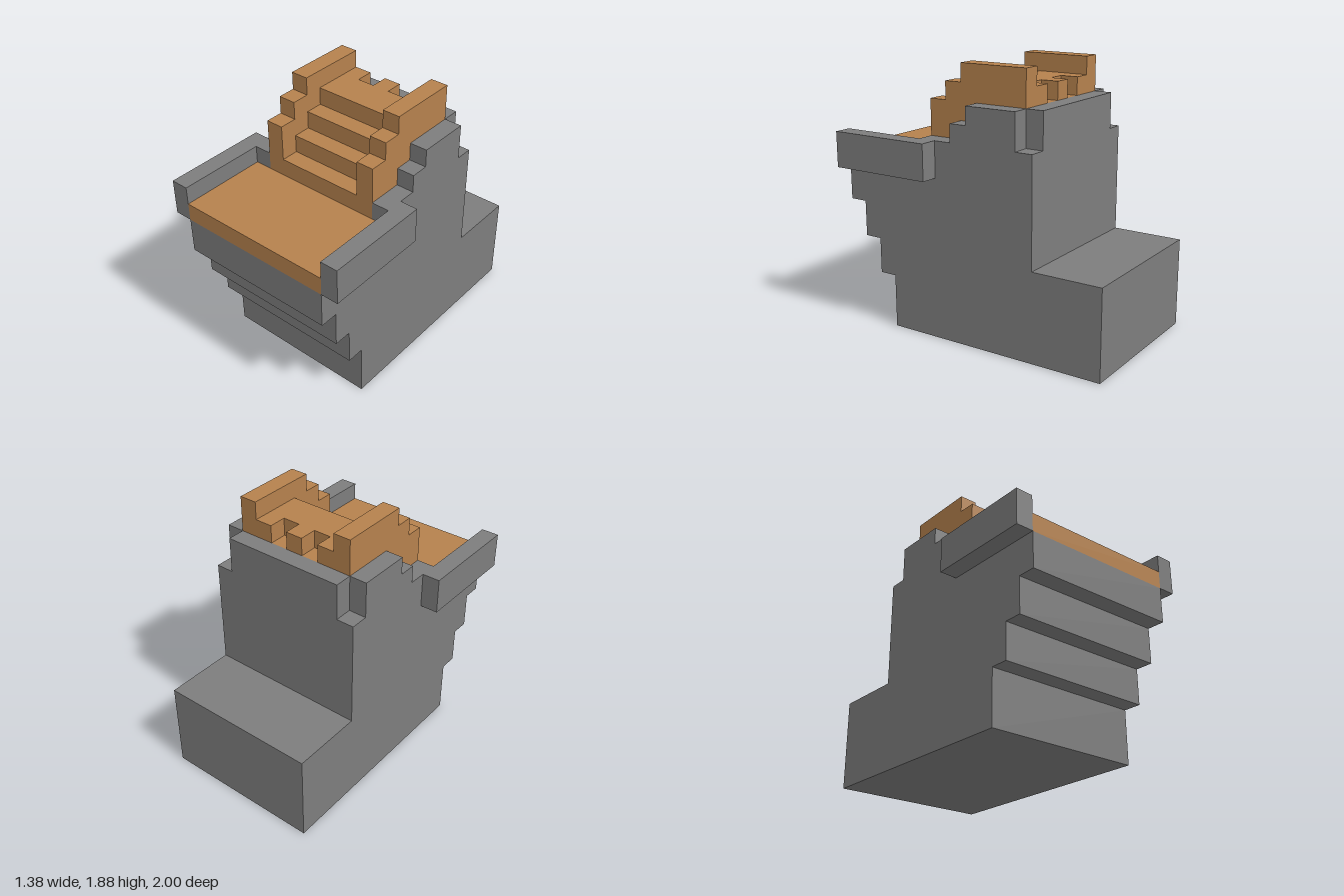
import * as THREE from 'three';

const U = 0.125; // block size; all measures below are in blocks

const stone = new THREE.MeshStandardMaterial({ color: 0x7d7d7d });
stone.name = 'stone grey';
const wood = new THREE.MeshStandardMaterial({ color: 0xb5814d });
wood.name = 'warm brown';

const toShape = (points) => new THREE.Shape(points.map(([a, b]) => new THREE.Vector2(a * U, b * U)));

// Side outline of [z, y] points, extruded across x from x0 to x1
function sideProfile(name, points, x0, x1, material) {
  const geo = new THREE.ExtrudeGeometry(toShape(points), { depth: (x1 - x0) * U, bevelEnabled: false });
  geo.rotateY(-Math.PI / 2).translate(x1 * U, 0, 0);
  const mesh = new THREE.Mesh(geo, material);
  mesh.name = name;
  return mesh;
}

// Box given by its limits on each axis
function box(name, [x0, x1], [y0, y1], [z0, z1], material) {
  const geo = new THREE.BoxGeometry((x1 - x0) * U, (y1 - y0) * U, (z1 - z0) * U);
  geo.translate((x0 + x1) * U / 2, (y0 + y1) * U / 2, (z0 + z1) * U / 2);
  const mesh = new THREE.Mesh(geo, material);
  mesh.name = name;
  return mesh;
}

export function createModel() {
  const model = new THREE.Group();
  model.name = 'steppedTower';

  // Stone body: overhanging front, low block behind
  model.add(sideProfile('body', [
    [-8, 0], [5, 0], [5, 3], [6, 3], [6, 5], [7, 5], [7, 7], [8, 7], [8, 9],
    [3, 9], [3, 10], [-4, 10], [-4, 5], [-8, 5],
  ], -4.5, 4.5, stone));

  // Front deck and the ledge behind the stairs
  model.add(box('deck', [-4.5, 4.5], [9, 10], [3, 8], wood));
  model.add(box('backLedge', [-3.5, 3.5], [10, 13], [-4, -3], stone));

  // Stair flight
  model.add(sideProfile('stairs', [
    [-3, 10], [3, 10], [3, 11], [2, 11], [2, 12], [1, 12], [1, 13], [-3, 13],
  ], -2.5, 2.5, wood));

  // Top landing with two notches along its back edge (plan outline, x and -z)
  const landingGeo = new THREE.ExtrudeGeometry(toShape([
    [-2.5, 0], [2.5, 0], [2.5, 3], [1.5, 3], [1.5, 2], [0.5, 2], [0.5, 3],
    [-0.5, 3], [-0.5, 2], [-1.5, 2], [-1.5, 3], [-2.5, 3],
  ]), { depth: U, bevelEnabled: false });
  landingGeo.rotateX(-Math.PI / 2).translate(0, 13 * U, 0);
  const landing = new THREE.Mesh(landingGeo, wood);
  landing.name = 'landing';
  model.add(landing);

  // Mirrored parts
  for (const [side, s] of [['left', 1], ['right', -1]]) {
    const span = (a, b) => (s > 0 ? [a, b] : [-b, -a]);
    // Stepped stair cheek
    model.add(sideProfile(side + 'StairWall', [
      [-3, 10], [3, 10], [3, 13], [2, 13], [2, 14], [1, 14], [1, 15], [-3, 15],
    ], ...span(2.5, 3.5), wood));
    // Stepped stone shoulder
    model.add(sideProfile(side + 'Shoulder', [
      [-4, 10], [3, 10], [3, 11], [1, 11], [1, 12], [0, 12], [0, 13], [-3, 13], [-3, 11], [-4, 11],
    ], ...span(3.5, 4.5), stone));
    // Deck rail
    model.add(box(side + 'Rail', span(4.5, 5.5), [9, 11], [2, 8], stone));
  }
  return model;
}
